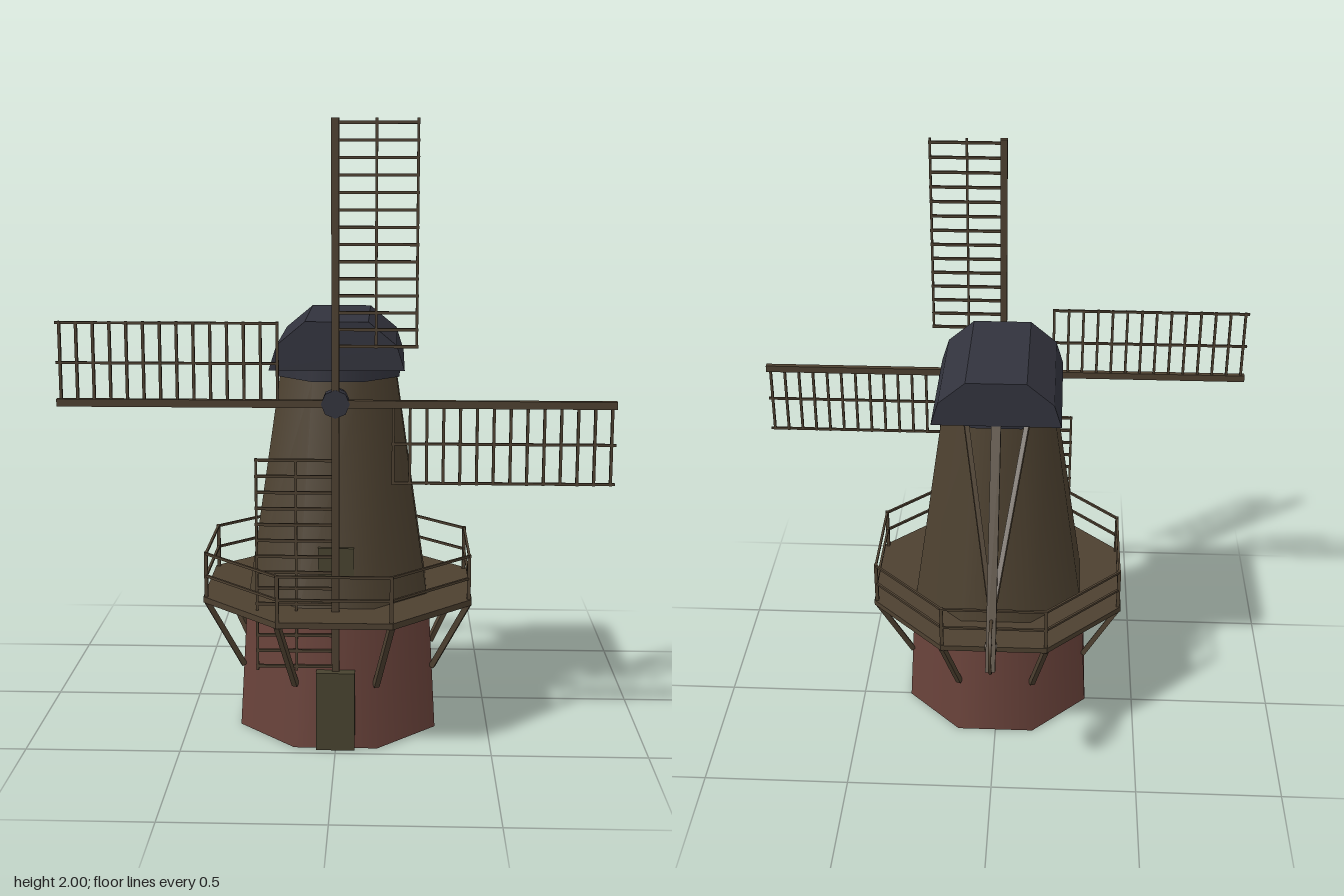
import * as THREE from 'three';

const mat = (name, color) => {
  const m = new THREE.MeshStandardMaterial({ color });
  m.name = name;
  return m;
};

export function createModel() {
  const brick = mat('red brick', 0x6a433b);
  const boards = mat('tower boards', 0x4d4130);
  const wood = mat('brown timber', 0x4d4030);
  const slate = mat('dark slate', 0x32333d);
  const doorPaint = mat('olive door', 0x48432f);

  const model = new THREE.Group();
  model.name = 'windmill';
  const CZ = 0.13;                       // tower axis
  const K = 1 / Math.cos(Math.PI / 8);   // apothem to corner radius
  const V = (x, y, z) => new THREE.Vector3(x, y, z);

  const add = (parent, name, geometry, material, x = 0, y = 0, z = 0) => {
    const mesh = new THREE.Mesh(geometry, material);
    mesh.name = name;
    mesh.position.set(x, y, z);
    parent.add(mesh);
    return mesh;
  };
  const group = (parent, name) => {
    const g = new THREE.Group();
    g.name = name;
    parent.add(g);
    return g;
  };
  const box = (parent, name, material, w, h, d, x, y, z) =>
    add(parent, name, new THREE.BoxGeometry(w, h, d), material, x, y, z);

  // Square beam between two points
  const beam = (parent, name, a, b, w, d = w) => {
    const mesh = add(parent, name, new THREE.BoxGeometry(w, d, a.distanceTo(b)), wood);
    mesh.position.copy(a).lerp(b, 0.5);
    mesh.lookAt(b);
    return mesh;
  };
  // Eight-sided tower section with flats facing the axes
  const octagon = (name, material, top, bottom, y0, y1, flat = false) => {
    let g = new THREE.CylinderGeometry(top * K, bottom * K, y1 - y0, 8);
    g.rotateY(Math.PI / 8);
    if (flat) {
      g = g.toNonIndexed();
      g.computeVertexNormals();
    }
    return add(model, name, g, material, 0, (y0 + y1) / 2, CZ);
  };
  const corner = (i, apothem, y) => {
    const a = Math.PI / 8 + i * Math.PI / 4;
    return V(Math.sin(a) * apothem * K, y, CZ + Math.cos(a) * apothem * K);
  };

  // Tower
  octagon('brickBase', brick, 0.3, 0.325, 0, 0.45);
  octagon('tower', boards, 0.19, 0.295, 0.45, 1.18);
  octagon('capRing', slate, 0.2, 0.2, 1.18, 1.23);
  box(model, 'frontDoor', doorPaint, 0.124, 0.26, 0.06, 0, 0.13, 0.445);
  box(model, 'galleryDoor', doorPaint, 0.115, 0.2, 0.06, 0, 0.555, 0.38);

  // Gallery with railing and struts
  octagon('galleryDeck', wood, 0.44, 0.44, 0.44, 0.46, true);
  const gallery = group(model, 'gallery');
  for (let i = 0; i < 8; i++) {
    beam(gallery, 'railPost', corner(i, 0.43, 0.46), corner(i, 0.43, 0.61), 0.012);
    for (const y of [0.53, 0.605])
      beam(gallery, 'rail', corner(i, 0.43, y), corner(i + 1, 0.43, y), 0.008);
    beam(gallery, 'strut', corner(i, 0.43, 0.445), corner(i, 0.313, 0.21), 0.018);
  }

  // Cap
  const profile = new THREE.Shape([
    [-0.215, 1.22], [0.215, 1.22], [0.19, 1.3], [0.1, 1.375], [-0.1, 1.375], [-0.19, 1.3],
  ].map(([x, y]) => new THREE.Vector2(x, y)));
  add(model, 'cap', new THREE.ExtrudeGeometry(profile, { depth: 0.485, bevelEnabled: false }),
    slate, 0, 0, -0.128);

  // Windshaft and hub
  const HUB_Y = 1.13, SAIL_Z = 0.447;
  const shaft = (name, r, z0, z1) => {
    const g = new THREE.CylinderGeometry(r, r, z1 - z0, 8).rotateX(Math.PI / 2);
    add(model, name, g, slate, 0, HUB_Y, (z0 + z1) / 2);
  };
  shaft('windshaft', 0.032, 0.2, 0.42);
  shaft('hub', 0.045, 0.41, 0.458);

  // Four lattice sails
  const sails = group(model, 'sails');
  sails.position.set(0, HUB_Y, SAIL_Z);
  for (let s = 0; s < 4; s++) {
    const sail = group(sails, 'sail');
    sail.rotation.z = -s * Math.PI / 2;
    box(sail, 'stock', wood, 0.024, 0.87, 0.02, 0, 0.435, 0);
    for (const x of [0.125, 0.25])
      box(sail, 'sailBar', wood, 0.008, 0.695, 0.008, x, 0.5225, 0);
    for (let i = 0; i < 14; i++)
      box(sail, 'sailRung', wood, 0.255, 0.009, 0.009, 0.1275, 0.18 + i * 0.052, 0);
  }

  // Tail pole with braces
  const tail = group(model, 'tail');
  beam(tail, 'tailPole', V(0, 1.235, -0.1), V(0, 0.52, -0.522), 0.032);
  for (const s of [-1, 1])
    beam(tail, 'tailBrace', V(s * 0.105, 1.225, -0.065), V(s * 0.008, 0.71, -0.4), 0.016);

  // Winch wheel
  const wheel = group(tail, 'winchWheel');
  wheel.position.set(0, 0.588, -0.475);
  wheel.rotation.y = Math.PI / 2;
  add(wheel, 'wheelRim', new THREE.TorusGeometry(0.087, 0.006, 6, 24), wood);
  add(wheel, 'wheelHub', new THREE.CylinderGeometry(0.014, 0.014, 0.04, 8).rotateX(Math.PI / 2), wood);
  for (let i = 0; i < 4; i++)
    box(wheel, 'wheelSpoke', wood, 0.174, 0.007, 0.007, 0, 0, 0).rotation.z = i * Math.PI / 4;

  return model;
}
